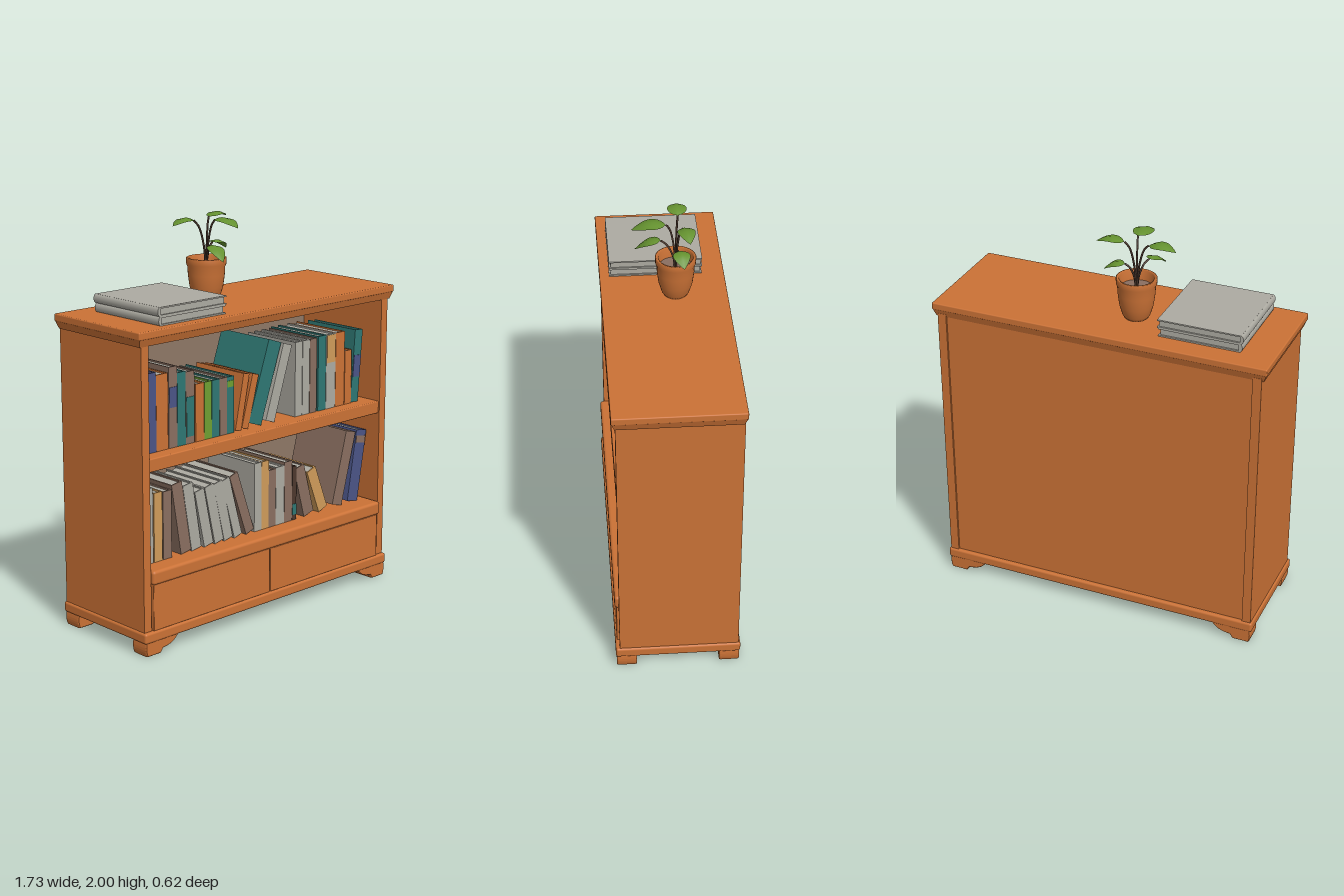
import * as THREE from 'three';
import { RoundedBoxGeometry } from 'three/addons/geometries/RoundedBoxGeometry.js';

const mat = (name, color, side = THREE.FrontSide) => {
  const m = new THREE.MeshStandardMaterial({ color, side });
  m.name = name;
  return m;
};

export function createModel() {
  const M = {
    wood: mat('orange wood', 0xcb7236),
    panel: mat('back panel brown', 0x8f7867),
    brown: mat('book brown', 0x8a6f60),
    grey: mat('book grey', 0xadaba2),
    teal: mat('book teal', 0x2f7773),
    blue: mat('book blue', 0x4b5587),
    green: mat('book green', 0x6f9f32),
    tan: mat('book tan', 0xd09c5a),
    leaf: mat('leaf green', 0x64912f, THREE.DoubleSide),
    stem: mat('stem brown', 0x4d382d),
  };
  const model = new THREE.Group();
  model.name = 'bookcase';

  const add = (parent, name, geo, material, x = 0, y = 0, z = 0) => {
    const mesh = new THREE.Mesh(geo, material);
    mesh.name = name;
    mesh.position.set(x, y, z);
    parent.add(mesh);
    return mesh;
  };
  // Box given by its limits, optionally with rounded edges
  const block = (parent, name, material, [x0, x1], [y0, y1], [z0, z1], r = 0) => {
    const s = [x1 - x0, y1 - y0, z1 - z0];
    const geo = r ? new RoundedBoxGeometry(...s, 3, r) : new THREE.BoxGeometry(...s);
    return add(parent, name, geo, material, (x0 + x1) / 2, (y0 + y1) / 2, (z0 + z1) / 2);
  };

  // ---- Cabinet ----
  const cabinet = new THREE.Group();
  cabinet.name = 'cabinet';
  model.add(cabinet);
  block(cabinet, 'rightSide', M.wood, [-0.84, -0.795], [0.11, 1.52], [-0.3, 0.29]);
  block(cabinet, 'leftSide', M.wood, [0.795, 0.84], [0.11, 1.52], [-0.3, 0.29]);
  block(cabinet, 'backPanel', M.wood, [-0.8, 0.8], [0.11, 1.52], [-0.29, -0.27]);
  block(cabinet, 'backLining', M.panel, [-0.795, 0.795], [0.42, 1.51], [-0.27, -0.265]);
  block(cabinet, 'middleShelf', M.wood, [-0.796, 0.796], [0.9, 0.965], [-0.27, 0.285], 0.006);
  block(cabinet, 'lowerShelf', M.wood, [-0.796, 0.796], [0.35, 0.42], [-0.27, 0.31], 0.015);
  block(cabinet, 'rightDrawer', M.wood, [-0.79, -0.018], [0.12, 0.35], [0.2, 0.302], 0.004);
  block(cabinet, 'leftDrawer', M.wood, [-0.014, 0.782], [0.12, 0.35], [0.2, 0.302], 0.004);

  // Top board over a moulding that narrows downwards
  block(cabinet, 'topBoard', M.wood, [-0.866, 0.866], [1.54, 1.577], [-0.31, 0.31], 0.006);
  const moulding = new THREE.BoxGeometry(1.725, 0.037, 0.612);
  const mp = moulding.attributes.position;
  for (let i = 0; i < mp.count; i++) {
    if (mp.getY(i) < 0) mp.setXYZ(i, mp.getX(i) * 0.985, mp.getY(i), mp.getZ(i) * 0.96);
  }
  moulding.computeVertexNormals();
  add(cabinet, 'topMoulding', moulding, M.wood, 0, 1.523, 0);

  // Base with four bracket feet
  block(cabinet, 'basePlinth', M.wood, [-0.85, 0.85], [0.067, 0.12], [-0.31, 0.31], 0.012);
  for (const sx of [-1, 1]) {
    const foot = new THREE.Shape();
    foot.moveTo(sx * 0.835, 0);
    foot.lineTo(sx * 0.75, 0);
    foot.lineTo(sx * 0.735, 0.022);
    foot.quadraticCurveTo(sx * 0.66, 0.026, sx * 0.635, 0.075);
    foot.lineTo(sx * 0.84, 0.075);
    foot.quadraticCurveTo(sx * 0.85, 0.03, sx * 0.835, 0);
    const geo = new THREE.ExtrudeGeometry(foot, {
      depth: 0.08, bevelThickness: 0.01, bevelSize: 0.004, bevelOffset: -0.004, bevelSegments: 2, curveSegments: 6,
    });
    for (const z of [-0.295, 0.215]) add(cabinet, 'foot', geo, M.wood, 0, 0, z);
  }

  // ---- Books: x is thickness, y is height, the spine faces +z ----
  const makeBook = (material, t, h, d) => {
    const book = new THREE.Group();
    book.name = 'book';
    const c = Math.min(0.007, t * 0.2);
    const cover = new THREE.Shape([
      [-t / 2, -d / 2], [t / 2, -d / 2], [t / 2, d / 2], [t / 2 - c, d / 2],
      [t / 2 - c, -d / 2 + c], [-t / 2 + c, -d / 2 + c], [-t / 2 + c, d / 2], [-t / 2, d / 2],
    ].map(([x, y]) => new THREE.Vector2(x, y)));
    const geo = new THREE.ExtrudeGeometry(cover, { depth: h, bevelEnabled: false });
    geo.rotateX(-Math.PI / 2);
    add(book, 'cover', geo, material);
    add(book, 'pages', new THREE.BoxGeometry(t - 2 * c, h - 0.016, d - c - 0.008), M.grey, 0, h / 2, 0.004 - c / 2);
    return book;
  };

  // Row entries: colour, bottom centre x, thickness, height, lean of the top, [patch colour, from, to]
  const bookRow = (name, shelfY, rows) => {
    const row = new THREE.Group();
    row.name = name;
    model.add(row);
    const depth = 0.34;
    for (const [color, x, t, h, lean = 0, patch] of rows) {
      const a = Math.atan2(lean, h);
      const thick = t * Math.cos(a);
      const length = (h - thick * Math.abs(Math.sin(a))) / Math.cos(a);
      const book = makeBook(M[color], thick, length, depth);
      book.rotation.z = -a;
      book.position.set(x, shelfY + (thick / 2) * Math.abs(Math.sin(a)), 0.21 - depth / 2);
      if (patch) {
        const [pc, from, to] = patch;
        add(book, 'spinePatch', new THREE.BoxGeometry(thick * 0.9, (to - from) * length, 0.004), M[pc],
          0, ((from + to) / 2) * length, depth / 2 + 0.001);
      }
      row.add(book);
    }
  };
  bookRow('upperBooks', 0.965, [
    ['brown', -0.767, 0.054, 0.39, 0, ['blue', 0.15, 0.7]], ['blue', -0.71, 0.055, 0.385],
    ['wood', -0.645, 0.073, 0.37], ['brown', -0.577, 0.052, 0.395, 0, ['blue', 0.5, 0.75]],
    ['teal', -0.523, 0.052, 0.36], ['brown', -0.468, 0.055, 0.355, 0, ['teal', 0.1, 0.65]],
    ['wood', -0.405, 0.055, 0.285], ['green', -0.352, 0.048, 0.285], ['teal', -0.302, 0.05, 0.285],
    ['brown', -0.251, 0.048, 0.285], ['teal', -0.204, 0.046, 0.285, 0, ['green', 0.82, 0.93]],
    ['wood', -0.151, 0.04, 0.285, 0.058], ['wood', -0.106, 0.045, 0.275, 0.077],
    ['teal', -0.037, 0.095, 0.43, 0.148], ['grey', 0.069, 0.065, 0.395, 0.127],
    ['grey', 0.27, 0.05, 0.385], ['grey', 0.323, 0.05, 0.385], ['brown', 0.376, 0.05, 0.385],
    ['teal', 0.44, 0.056, 0.39], ['grey', 0.505, 0.068, 0.39, 0, ['tan', 0.62, 0.99]],
    ['wood', 0.574, 0.066, 0.39], ['wood', 0.636, 0.05, 0.285],
    ['teal', 0.685, 0.057, 0.385, 0.03, ['blue', 0.35, 0.65]],
  ]);
  bookRow('lowerBooks', 0.42, [
    ['grey', -0.751, 0.083, 0.375], ['tan', -0.677, 0.052, 0.345], ['brown', -0.619, 0.053, 0.34],
    ['brown', -0.5, 0.067, 0.37, -0.06], ['grey', -0.431, 0.065, 0.35, -0.058],
    ['grey', -0.349, 0.062, 0.305, -0.065], ['grey', -0.28, 0.06, 0.315, -0.07],
    ['grey', -0.217, 0.06, 0.32, -0.075], ['grey', -0.151, 0.055, 0.325, -0.09],
    ['brown', -0.069, 0.06, 0.34, -0.12], ['grey', -0.014, 0.05, 0.355], ['tan', 0.037, 0.05, 0.355],
    ['brown', 0.087, 0.05, 0.3], ['grey', 0.143, 0.06, 0.305], ['brown', 0.202, 0.055, 0.32],
    ['stem', 0.246, 0.03, 0.285, 0, ['teal', 0.1, 0.3]], ['brown', 0.354, 0.075, 0.285, -0.08],
    ['tan', 0.46, 0.07, 0.255, -0.1], ['brown', 0.566, 0.075, 0.4, 0.105],
    ['blue', 0.685, 0.078, 0.39, 0.065, ['brown', 0.82, 0.92]],
  ]);

  // Two large books lying on the top, spines towards -x
  const stack = new THREE.Group();
  stack.name = 'bookStack';
  model.add(stack);
  const lying = new THREE.Matrix4().makeBasis(
    new THREE.Vector3(0, 1, 0), new THREE.Vector3(0, 0, -1), new THREE.Vector3(-1, 0, 0));
  for (const [y, h, d] of [[1.6, 0.46, 0.41], [1.644, 0.462, 0.42]]) {
    const book = makeBook(M.grey, 0.044, h, d);
    book.quaternion.setFromRotationMatrix(lying);
    book.position.set(-0.49, y, 0.262);
    stack.add(book);
    const spine = new THREE.CylinderGeometry(0.022, 0.022, h, 12, 1, false, Math.PI, Math.PI);
    spine.scale(0.6, 1, 1).rotateX(Math.PI / 2);
    spine.rotateZ(0);
    add(stack, 'roundedSpine', spine, M.grey, -0.488 - d / 2, y, 0.262 - h / 2);
  }

  // ---- Potted plant ----
  const plant = new THREE.Group();
  plant.name = 'pottedPlant';
  plant.position.set(-0.115, 1.577, -0.055);
  model.add(plant);
  const profile = [[0, 0], [0.055, 0], [0.068, 0.02], [0.083, 0.07], [0.091, 0.13], [0.093, 0.17],
    [0.099, 0.183], [0.1, 0.212], [0.094, 0.215], [0.084, 0.21], [0.08, 0.15]];
  add(plant, 'pot', new THREE.LatheGeometry(profile.map(([x, y]) => new THREE.Vector2(x, y)), 32), M.wood);
  add(plant, 'soil', new THREE.CylinderGeometry(0.081, 0.081, 0.01, 24), M.brown, 0, 0.155, 0);

  // Leaf: a pointed, folded and arched plane from base to tip, on a curved stem
  const up = new THREE.Vector3(0, 1, 0);
  const addLeaf = (base, tip, width) => {
    const b = new THREE.Vector3(...base), dir = new THREE.Vector3(...tip).sub(b);
    const side = dir.clone().cross(up).normalize();
    const geo = new THREE.PlaneGeometry(1, 1, 4, 10);
    const p = geo.attributes.position, v = new THREE.Vector3();
    for (let i = 0; i < p.count; i++) {
      const u = p.getX(i) * 2, s = p.getY(i) + 0.5;
      const half = (width / 2) * Math.pow(Math.max(0, Math.sin(Math.PI * Math.pow(s, 0.75))), 0.85);
      v.copy(b).addScaledVector(dir, s).addScaledVector(side, u * half);
      v.y += 0.02 * Math.sin(Math.PI * s) + 0.25 * half * (0.5 - Math.abs(u));
      p.setXYZ(i, v.x, v.y, v.z);
    }
    geo.computeVertexNormals();
    add(plant, 'leaf', geo, M.leaf);
    const path = new THREE.CatmullRomCurve3([
      new THREE.Vector3(b.x * 0.05, 0.15, b.z * 0.05),
      new THREE.Vector3(b.x * 0.2, 0.15 + (b.y - 0.15) * 0.5, b.z * 0.2),
      new THREE.Vector3(b.x * 0.6, 0.15 + (b.y - 0.15) * 0.88, b.z * 0.6), b,
    ]);
    add(plant, 'stem', new THREE.TubeGeometry(path, 14, 0.005, 6), M.stem);
  };
  addLeaf([-0.07, 0.4, -0.015], [-0.205, 0.385, -0.015], 0.095);
  addLeaf([0.05, 0.405, -0.035], [0.185, 0.395, -0.055], 0.085);
  addLeaf([0.055, 0.28, -0.015], [0.16, 0.24, -0.03], 0.085);
  addLeaf([-0.035, 0.285, 0.07], [-0.07, 0.22, 0.195], 0.085);
  addLeaf([0.015, 0.405, 0.05], [0.01, 0.378, 0.215], 0.1);

  return model;
}
